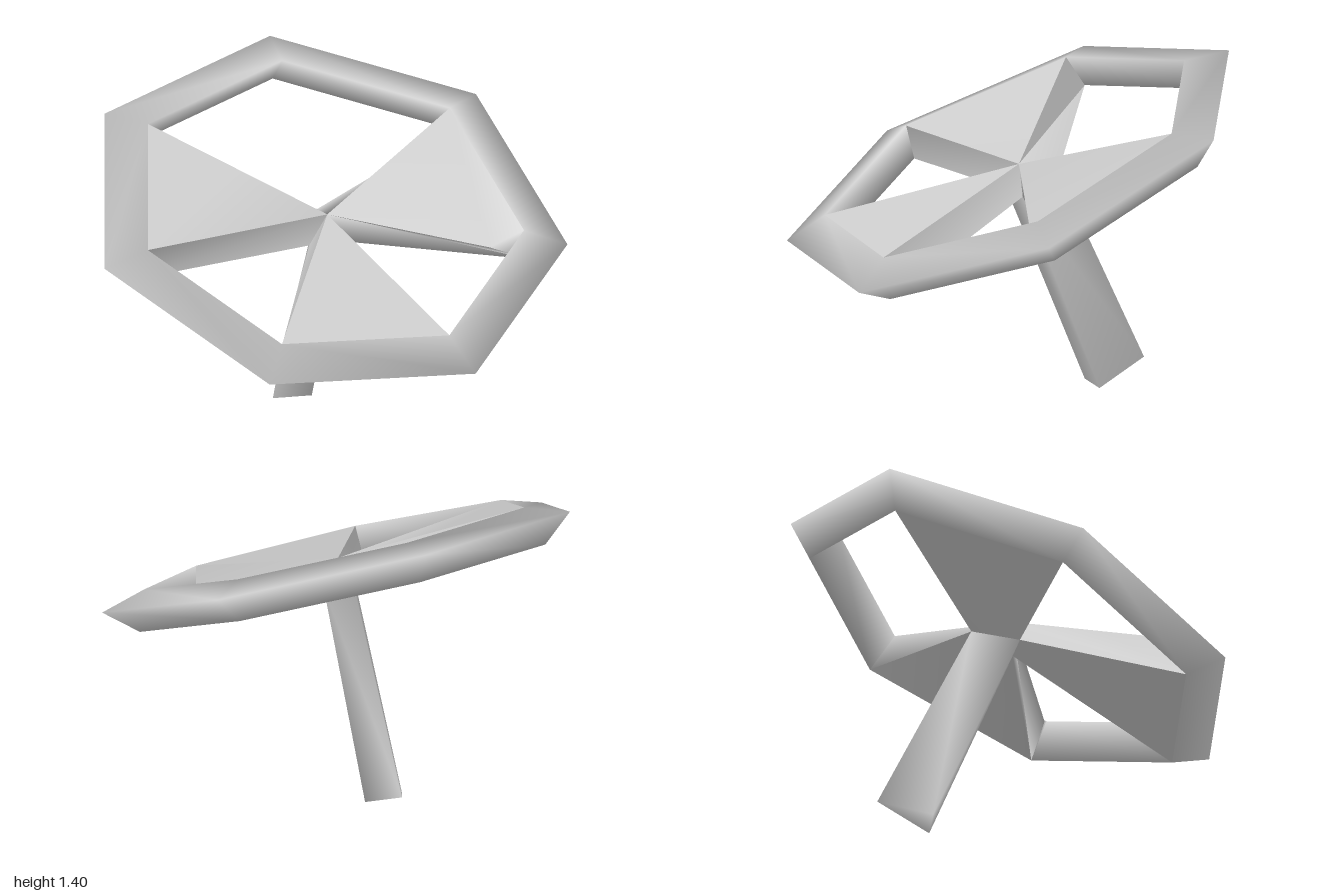
import * as THREE from 'three';
import { mergeVertices, toCreasedNormals } from 'three/addons/utils/BufferGeometryUtils.js';

const grey = new THREE.MeshStandardMaterial({ color: 0xcccccc });
grey.name = 'grey';

const SIDES = 7, START = 21.2, STEP = 360 / SIDES;

// point in the wheel's own frame: radius, angle in degrees, height along the axle
function polar(r, deg, h) {
  const a = THREE.MathUtils.degToRad(deg);
  return [r * Math.cos(a), h, r * Math.sin(a)];
}

// mesh from polygons given as lists of corners; normals smooth below the crease angle
function polyMesh(name, polygons, crease = Math.PI) {
  const pos = [];
  for (const p of polygons)
    for (let i = 1; i < p.length - 1; i++) pos.push(...p[0], ...p[i], ...p[i + 1]);
  let geo = new THREE.BufferGeometry();
  geo.setAttribute('position', new THREE.Float32BufferAttribute(pos, 3));
  if (crease < Math.PI) geo = toCreasedNormals(geo, crease);
  else {
    geo = mergeVertices(geo);
    geo.computeVertexNormals();
  }
  const mesh = new THREE.Mesh(geo, grey);
  mesh.name = name;
  return mesh;
}

// three-cornered rim section: outer tip, inner top, inner bottom
const TIP = [1.035, 0], TOP = [0.841, 0.055], BOTTOM = [0.897, -0.115];
const rimPoint = (i, [r, h]) => polar(r, START + i * STEP, h);

function rim() {
  const section = [TIP, TOP, BOTTOM], faces = [];
  for (let i = 0; i < SIDES; i++)
    for (let j = 0; j < 3; j++) {
      const s = section[j], t = section[(j + 1) % 3];
      faces.push([rimPoint(i, s), rimPoint(i, t), rimPoint(i + 1, t), rimPoint(i + 1, s)]);
    }
  return polyMesh('rim', faces);
}

// hub: one upper point over a triangle where the column begins
const APEX = [0.018, 0, -0.008];
const HUB_LEFT = [-0.07, -0.105, 0.055], HUB_RIGHT = [0.08, -0.11, 0.058], HUB_BACK = [0.045, -0.115, -0.143];

// wedge-shaped spoke filling one rim side; mid is a bend on its second upper edge
function spoke(name, i, h0, h1, mid, crease) {
  const t0 = rimPoint(i, TOP), t1 = rimPoint(i + 1, TOP);
  const b0 = rimPoint(i, BOTTOM), b1 = rimPoint(i + 1, BOTTOM);
  const m = mid || APEX.map((v, k) => (v + t1[k]) / 2);
  return polyMesh(name, [
    [APEX, m, t0], [m, t1, t0],
    [APEX, t0, b0, h0],
    [APEX, h1, b1, m], [m, b1, t1],
    [h0, b0, b1, h1],
  ], crease);
}

// three-sided column, slightly wider at the foot
function column() {
  const top = [HUB_LEFT, HUB_RIGHT, HUB_BACK];
  const foot = [[-0.077, -1.03, 0.07], [0.093, -1.03, 0.09], [0.053, -1.03, -0.164]];
  const faces = top.map((p, i) => {
    const k = (i + 1) % 3;
    return [p, foot[i], foot[k], top[k]];
  });
  faces.push([foot[0], foot[2], foot[1]]);
  return polyMesh('column', faces);
}

export function createModel() {
  const model = new THREE.Group();
  model.name = 'steeringWheel';

  // wheel and column share one tilted frame
  const wheel = new THREE.Group();
  wheel.name = 'wheelAndColumn';
  wheel.position.set(0.027, 0.975, 0.009);
  wheel.rotation.x = THREE.MathUtils.degToRad(24.7);
  wheel.add(
    rim(),
    spoke('frontSpoke', 1, HUB_RIGHT, HUB_LEFT, null, 0.8),
    spoke('rightSpoke', 3, HUB_LEFT, HUB_BACK, null, 0.8),
    spoke('leftSpoke', -1, HUB_BACK, HUB_RIGHT, polar(0.71, 25, -0.023)),
    column(),
  );
  model.add(wheel);
  return model;
}
